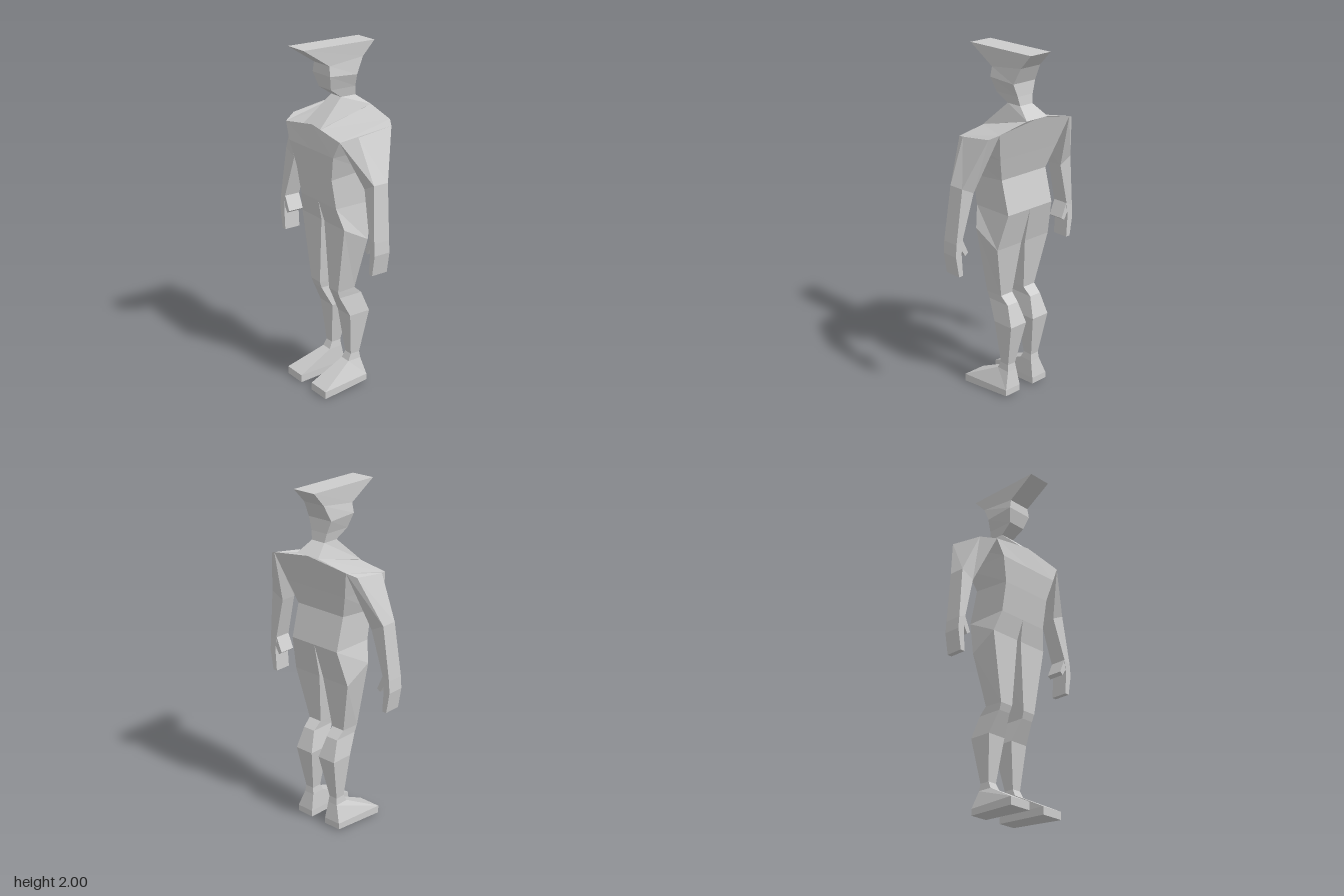
import * as THREE from 'three';

const material = new THREE.MeshStandardMaterial({ color: 0xcccccc, flatShading: true, side: THREE.DoubleSide });

// Mesh from polygons, each a counter-clockwise loop of points split into a fan.
function faceted(name, polygons) {
  const positions = [];
  for (const p of polygons) {
    for (let i = 1; i < p.length - 1; i++) positions.push(...p[0], ...p[i], ...p[i + 1]);
  }
  const geometry = new THREE.BufferGeometry();
  geometry.setAttribute('position', new THREE.Float32BufferAttribute(positions, 3));
  geometry.computeVertexNormals();
  const mesh = new THREE.Mesh(geometry, material);
  mesh.name = name;
  return mesh;
}

// Polygons joining cross-sections listed from top to bottom.
function loft(rings, capTop = true, capBottom = true) {
  const polygons = [];
  for (let r = 0; r < rings.length - 1; r++) {
    const a = rings[r], b = rings[r + 1];
    for (let i = 0; i < a.length; i++) {
      const j = (i + 1) % a.length;
      polygons.push([a[i], b[i], b[j], a[j]]);
    }
  }
  if (capTop) polygons.push(rings[0]);
  if (capBottom) polygons.push([...rings[rings.length - 1]].reverse());
  return polygons;
}

// Four-cornered section: inner and outer x, then height and depth of front and back edges.
function section(xi, xo, yf, zf, yb, zb, xob = xo) {
  return [[xi, yf, zf], [xo, yf, zf], [xob, yb, zb], [xi, yb, zb]];
}

const mirrored = (polygons) => polygons.map((p) => p.map(([x, y, z]) => [-x, y, z]).reverse());

export function createModel() {
  const model = new THREE.Group();
  model.name = 'figure';
  const addPair = (name, polygons) => {
    model.add(faceted('left' + name, polygons), faceted('right' + name, mirrored(polygons)));
  };

  // Head with flat-topped peaked cap, and neck sloping into the shoulders
  const centred = (w, ...rest) => section(-w, w, ...rest);
  const capRim = centred(0.07, 1.895, 0.065, 1.92, -0.155);
  const neckTop = centred(0.045, 1.71, -0.03, 1.71, -0.125);
  model.add(faceted('cap', loft([centred(0.072, 2, 0.23, 2, -0.23), capRim], true, false)));
  model.add(faceted('head', loft([
    capRim,
    centred(0.08, 1.84, 0.068, 1.83, -0.11),
    centred(0.055, 1.76, 0.045, 1.76, -0.117),
    neckTop,
  ], false, false)));
  model.add(faceted('neck', loft([neckTop, centred(0.077, 1.565, 0.13, 1.65, -0.208)], false, false)));

  // Shoulder corners shared by the yoke, torso and arms
  const chestCentre = [0, 1.575, 0.13], spineTop = [0, 1.65, -0.208];
  const neckFront = [0.077, 1.563, 0.13], neckBack = [0.077, 1.65, -0.208];
  const front = [0.25, 1.535, 0.13], back = [0.26, 1.61, -0.195];
  const outerFront = [0.3, 1.56, 0.045], outerBack = [0.31, 1.59, -0.165];
  addPair('Shoulder', [
    [chestCentre, front, neckFront],
    [neckFront, front, back, neckBack],
    [front, outerFront, outerBack, back],
  ]);

  // Torso halves down to the crotch
  const hip = section(0, 0.165, 1.13, 0.09, 1.13, -0.16);
  addPair('Torso', loft([
    [chestCentre, front, back, spineTop],
    section(0, 0.205, 1.44, 0.14, 1.45, -0.147, 0.21),
    section(0, 0.165, 1.3, 0.12, 1.32, -0.11),
    hip,
  ], false, false));

  // Legs
  const ankle = section(0.065, 0.12, 0.19, -0.05, 0.19, -0.11);
  addPair('Leg', loft([
    hip,
    section(0.014, 0.2, 1.01, 0.06, 0.92, -0.105, 0.195),
    section(0.045, 0.13, 0.61, 0.05, 0.615, -0.065),
    section(0.05, 0.127, 0.57, 0.035, 0.57, -0.115),
    section(0.027, 0.145, 0.45, -0.025, 0.45, -0.16),
    ankle,
  ], false, false));

  // Wedge-shaped shoes
  addPair('Shoe', loft([
    ankle,
    section(0.06, 0.125, 0.15, -0.03, 0.15, -0.115),
    section(0.052, 0.19, 0.045, 0.18, 0.05, -0.135, 0.16),
    section(0.052, 0.19, 0, 0.18, 0.013, -0.135, 0.16),
  ], false));

  // Arms, hands and thumbs
  const slanted = (xi, yi, xo, yo, zf, zb) => [[xi, yi, zf], [xo, yo, zf], [xo, yo, zb], [xi, yi, zb]];
  const wrist = slanted(0.4, 1.03, 0.445, 1.01, 0.045, -0.055);
  addPair('Arm', loft([
    [front, outerFront, outerBack, back],
    slanted(0.33, 1.28, 0.41, 1.32, 0.025, -0.068),
    wrist,
  ], false, false));
  addPair('Hand', loft([
    wrist,
    slanted(0.41, 0.95, 0.45, 0.94, 0.045, -0.055),
    slanted(0.402, 0.82, 0.43, 0.82, 0.045, -0.055),
  ], false));
  addPair('Thumb', loft([
    slanted(0.4, 1.03, 0.41, 0.975, 0.043, -0.053),
    slanted(0.362, 0.945, 0.383, 0.93, 0.043, -0.053),
  ]));

  return model;
}
